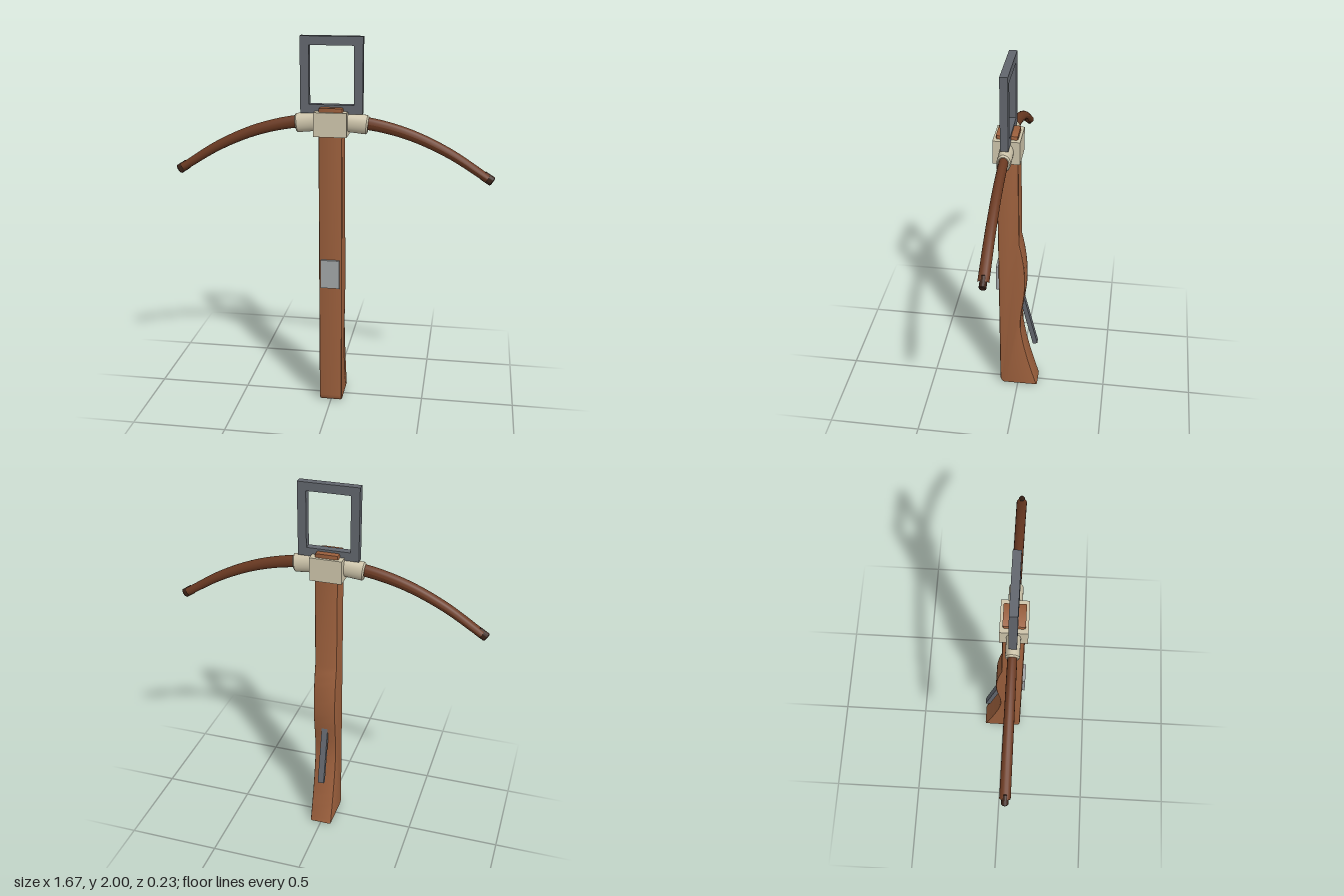
import * as THREE from 'three';
import { toCreasedNormals } from 'three/addons/utils/BufferGeometryUtils.js';

const mat = (color) => new THREE.MeshStandardMaterial({ color });
const wood = mat(0x9b5f3c), darkWood = mat(0x6b3a22), tipWood = mat(0x3b2318);
const bone = mat(0xcdc4aa), steel = mat(0x62666d), paleSteel = mat(0xa0a4a6);
const BOW_Z = 0.051;

function add(parent, name, geometry, material, x = 0, y = 0, z = 0) {
  const mesh = new THREE.Mesh(geometry, material);
  mesh.name = name;
  mesh.position.set(x, y, z);
  parent.add(mesh);
  return mesh;
}

// Side profile (z, y) extruded across the width, with bevelled edges
function stockGeometry() {
  const s = new THREE.Shape();
  s.moveTo(-0.113, 0.003);
  s.lineTo(0.072, 0);
  s.quadraticCurveTo(0.103, 0, 0.103, 0.04);
  s.lineTo(0.107, 1.645);
  s.lineTo(-0.003, 1.645);
  s.lineTo(-0.01, 1.0);
  s.bezierCurveTo(-0.035, 0.89, -0.05, 0.77, -0.036, 0.64);
  s.bezierCurveTo(-0.022, 0.53, -0.012, 0.48, -0.02, 0.4);
  s.bezierCurveTo(-0.04, 0.25, -0.085, 0.1, -0.113, 0.003);
  const width = 0.124, b = 0.01;
  const g = new THREE.ExtrudeGeometry(s, {
    depth: width - 2 * b, bevelThickness: b, bevelSize: b, bevelOffset: -b, bevelSegments: 2, curveSegments: 12,
  });
  g.translate(0, 0, -(width / 2 - b));
  g.rotateY(-Math.PI / 2);
  return toCreasedNormals(g, 0.45);
}

// Tapered limb with an oval section, swept along a curve
function limbGeometry(curve) {
  const n = 32, sides = 16;
  const g = new THREE.TubeGeometry(curve, n, 0.036, sides);
  const p = g.attributes.position, c = new THREE.Vector3();
  for (let i = 0; i <= n; i++) {
    curve.getPointAt(i / n, c);
    const k = 1 - 0.4 * (i / n);
    for (let j = 0; j <= sides; j++) {
      const v = i * (sides + 1) + j;
      p.setXYZ(v, c.x + (p.getX(v) - c.x) * k, c.y + (p.getY(v) - c.y) * k, p.getZ(v) * (0.62 + 0.14 * i / n));
    }
  }
  g.computeVertexNormals();
  return g;
}

// Oval sleeve with softened rims, lying along x
function sleeveGeometry(length, radius, rim, depthScale) {
  const h = length / 2;
  const profile = [[0, -h], [radius - rim, -h], [radius, -h + rim], [radius, h - rim], [radius - rim, h], [0, h]];
  const g = new THREE.LatheGeometry(profile.map(([x, y]) => new THREE.Vector2(x, y)), 24);
  g.rotateZ(-Math.PI / 2);
  g.scale(1, 1, depthScale);
  return toCreasedNormals(g, 0.6);
}

function bowHalf(side) {
  const half = new THREE.Group();
  half.name = side > 0 ? 'leftBowArm' : 'rightBowArm';
  half.position.z = BOW_Z;
  half.rotation.y = side > 0 ? 0 : Math.PI;
  const curve = new THREE.CatmullRomCurve3(
    [[0, 1.575], [0.2, 1.561], [0.4, 1.512], [0.6, 1.424], [0.8, 1.3]].map(([x, y]) => new THREE.Vector3(x, y, 0)));
  add(half, 'limb', limbGeometry(curve), darkWood);
  const tip = add(half, 'limbTip', sleeveGeometry(0.06, 0.025, 0.004, 0.7), tipWood, 0.8, 1.3, 0);
  tip.rotation.z = -0.57;
  const collar = add(half, 'limbCollar', sleeveGeometry(0.15, 0.05, 0.008, 0.7), bone, 0.113, 1.564, 0);
  collar.rotation.z = -0.1;
  return half;
}

// Square foot stirrup with an open middle
function stirrupGeometry() {
  const rect = (T, x, y0, y1) => new T([[-x, y0], [x, y0], [x, y1], [-x, y1]].map(([a, b]) => new THREE.Vector2(a, b)));
  const s = rect(THREE.Shape, 0.16, 1.612, 2);
  s.holes.push(rect(THREE.Path, 0.115, 1.657, 1.955));
  const g = new THREE.ExtrudeGeometry(s, { depth: 0.04, bevelEnabled: false });
  g.translate(0, 0, -0.02);
  return g;
}

export function createModel() {
  const model = new THREE.Group();
  model.name = 'crossbow';
  add(model, 'stock', stockGeometry(), wood);
  model.add(bowHalf(1), bowHalf(-1));
  add(model, 'bowBinding', new THREE.BoxGeometry(0.17, 0.125, 0.138), bone, 0, 1.562, BOW_Z + 0.001);
  add(model, 'stirrup', stirrupGeometry(), steel, 0, 0, BOW_Z);
  add(model, 'lockPlate', new THREE.BoxGeometry(0.1, 0.156, 0.04), paleSteel, 0, 0.757, 0.1);
  // Trigger bar leaning away from the stock
  const trigger = add(model, 'triggerLever', new THREE.BoxGeometry(0.034, 0.36, 0.026), steel, 0, 0.46, -0.054);
  trigger.rotation.x = 0.235;
  return model;
}
